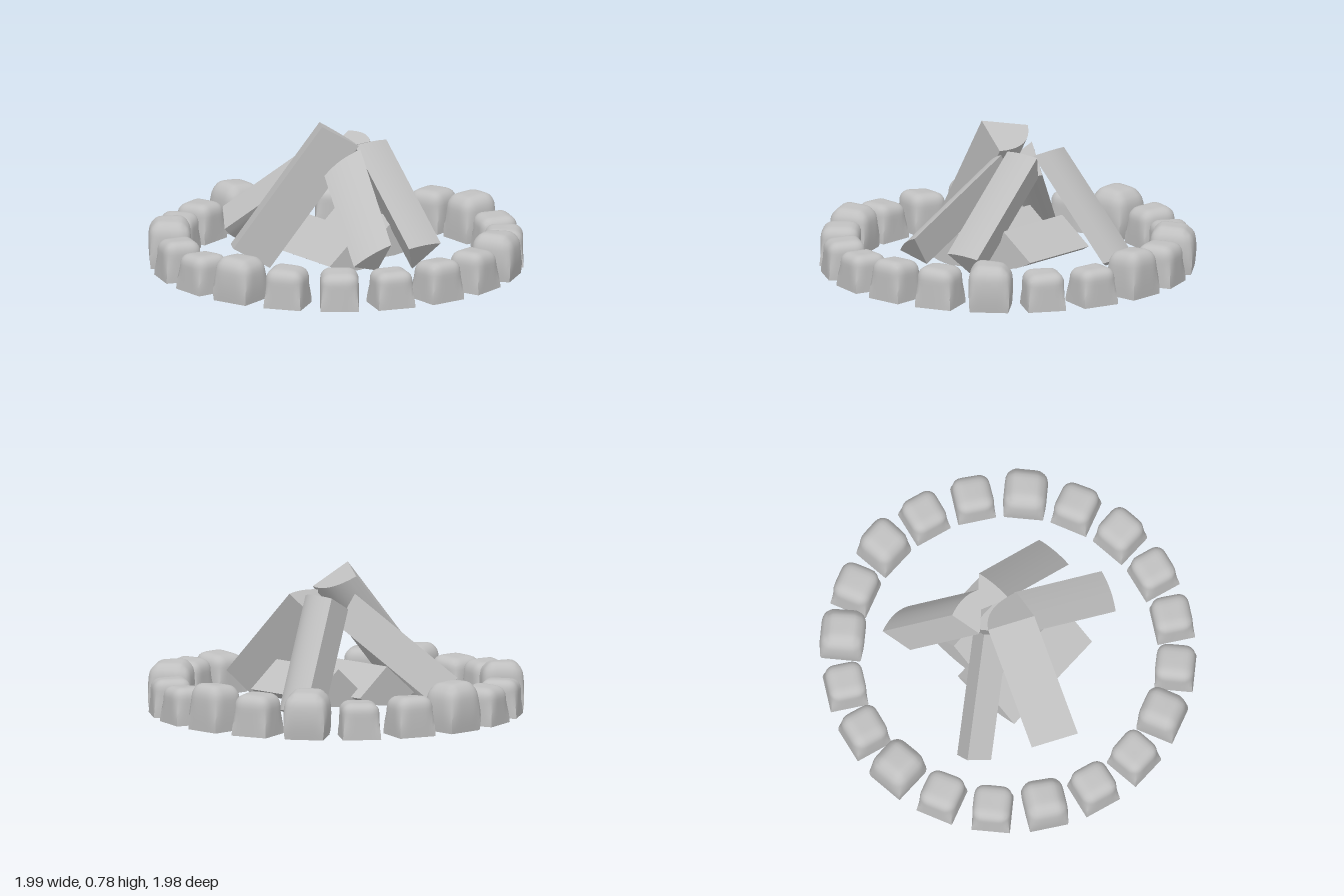
import * as THREE from 'three';
import { toCreasedNormals } from 'three/addons/utils/BufferGeometryUtils.js';

const V = (a) => new THREE.Vector3(...a);

// Split log: a wedge section (split edge plus two bark corners) swept along a direction.
function makeLog(name, edge, cornerA, cornerB, along, round, material) {
  const o = V(edge), d = V(along);
  let u = V(cornerA).sub(o), v = V(cornerB).sub(o);
  if (u.clone().cross(v).dot(d) < 0) [u, v] = [v, u];
  const section = new THREE.Shape();
  section.moveTo(0, 0);
  section.lineTo(1, 0);
  section.quadraticCurveTo(round, round, 0, 1);
  section.closePath();
  const geo = new THREE.ExtrudeGeometry(section, { depth: 1, bevelEnabled: false, curveSegments: 8 });
  geo.applyMatrix4(new THREE.Matrix4().makeBasis(u, v, d).setPosition(o));
  const mesh = new THREE.Mesh(toCreasedNormals(geo, 0.5), material);
  mesh.name = name;
  return mesh;
}

// Stone: a box with a flat square base, a rounded top and a gentle seeded bulge.
function makeStone(height, swell, seed, material) {
  const geo = new THREE.BoxGeometry(2, 2, 2, 10, 10, 10);
  const pos = geo.attributes.position, p = new THREE.Vector3(), c = new THREE.Vector3();
  const r = 0.55, inner = 1 - r;
  for (let i = 0; i < pos.count; i++) {
    p.fromBufferAttribute(pos, i);
    const t = (p.y + 1) / 2;
    // round the upper edges, blending to a sharp base
    c.set(THREE.MathUtils.clamp(p.x, -inner, inner), Math.min(p.y, inner), THREE.MathUtils.clamp(p.z, -inner, inner));
    const q = p.clone().sub(c);
    if (q.lengthSq() > 0) q.setLength(r);
    q.add(c);
    p.lerp(q, THREE.MathUtils.smoothstep(t, 0, 0.8));
    // uneven sides and a sloping crown
    const tilt = Math.sin(p.x * 0.9 + seed * 1.7) * Math.cos(p.z * 0.9 + seed * 2.9);
    const side = 1 + t * 0.04 * tilt + swell * Math.sin(Math.PI * t);
    const y = ((p.y + 1) / 2) * height * (1 + 0.05 * t * tilt);
    pos.setXYZ(i, p.x * 0.102 * side, y, p.z * 0.102 * side);
  }
  return new THREE.Mesh(toCreasedNormals(geo, 1.25), material);
}

export function createModel() {
  const model = new THREE.Group();
  model.name = 'campfire';
  const grey = new THREE.MeshStandardMaterial({ color: 0xc0c0c0 });
  grey.name = 'plain grey';

  // Ring of stones, starting at +x and going round towards +z: height, swell
  const stones = [
    [0.21, 0], [0.2, 0], [0.2, 0], [0.2, 0], [0.23, 0.08],
    [0.2, 0], [0.21, 0], [0.25, 0.1], [0.2, 0], [0.2, 0],
    [0.25, 0.12], [0.21, 0.03], [0.2, 0], [0.25, 0.16], [0.21, 0],
    [0.24, 0.04], [0.2, 0], [0.2, 0], [0.24, 0.12], [0.21, 0],
  ];
  const ring = new THREE.Group();
  ring.name = 'stoneRing';
  stones.forEach(([height, swell], i) => {
    const angle = (i / stones.length) * Math.PI * 2;
    const stone = makeStone(height, swell, i, grey);
    stone.name = 'stone' + (i + 1);
    stone.position.set(Math.cos(angle) * 0.885, 0, Math.sin(angle) * 0.885);
    stone.rotation.y = -angle;
    ring.add(stone);
  });
  ring.position.set(0.01, 0, 0.005);
  model.add(ring);

  // Logs: name, split edge, two bark corners, sweep direction, bark roundness
  const logs = [
    // two lying on the ground, bark down
    ['groundLogFront', [-0.28, 0.26, 0.1], [-0.28, 0.1, 0.3], [-0.28, 0.11, -0.1], [0.62, 0, 0], 0.85],
    ['groundLogBack', [-0.21, 0.27, -0.19], [-0.21, 0.13, -0.38], [-0.21, 0.11, 0.0], [0.47, 0, 0], 0.85],
    // five leaning together
    ['leaningLogFront', [0.06, 0.78, 0.14], [-0.15, 0.74, 0.0], [0.13, 0.66, -0.05], [-0.17, -0.63, 0.46], 0.8],
    ['leaningLogBack', [-0.15, 0.57, -0.06], [-0.19, 0.65, -0.22], [0.03, 0.64, -0.2], [-0.16, -0.56, -0.35], 0.66],
    ['leaningLogLeftBack', [-0.04, 0.5, -0.17], [0.08, 0.65, -0.06], [0.08, 0.65, -0.27], [0.48, -0.465, 0], 0.55],
    ['leaningLogLeftFront', [0.02, 0.48, -0.05], [0.13, 0.64, -0.06], [0.04, 0.53, 0.12], [0.5, -0.39, 0.17], 0.6],
    ['leaningLogRight', [-0.16, 0.65, -0.02], [-0.13, 0.49, -0.12], [-0.05, 0.56, 0.05], [-0.47, -0.43, 0.3], 0.75],
  ];
  for (const l of logs) model.add(makeLog(...l, grey));
  return model;
}
